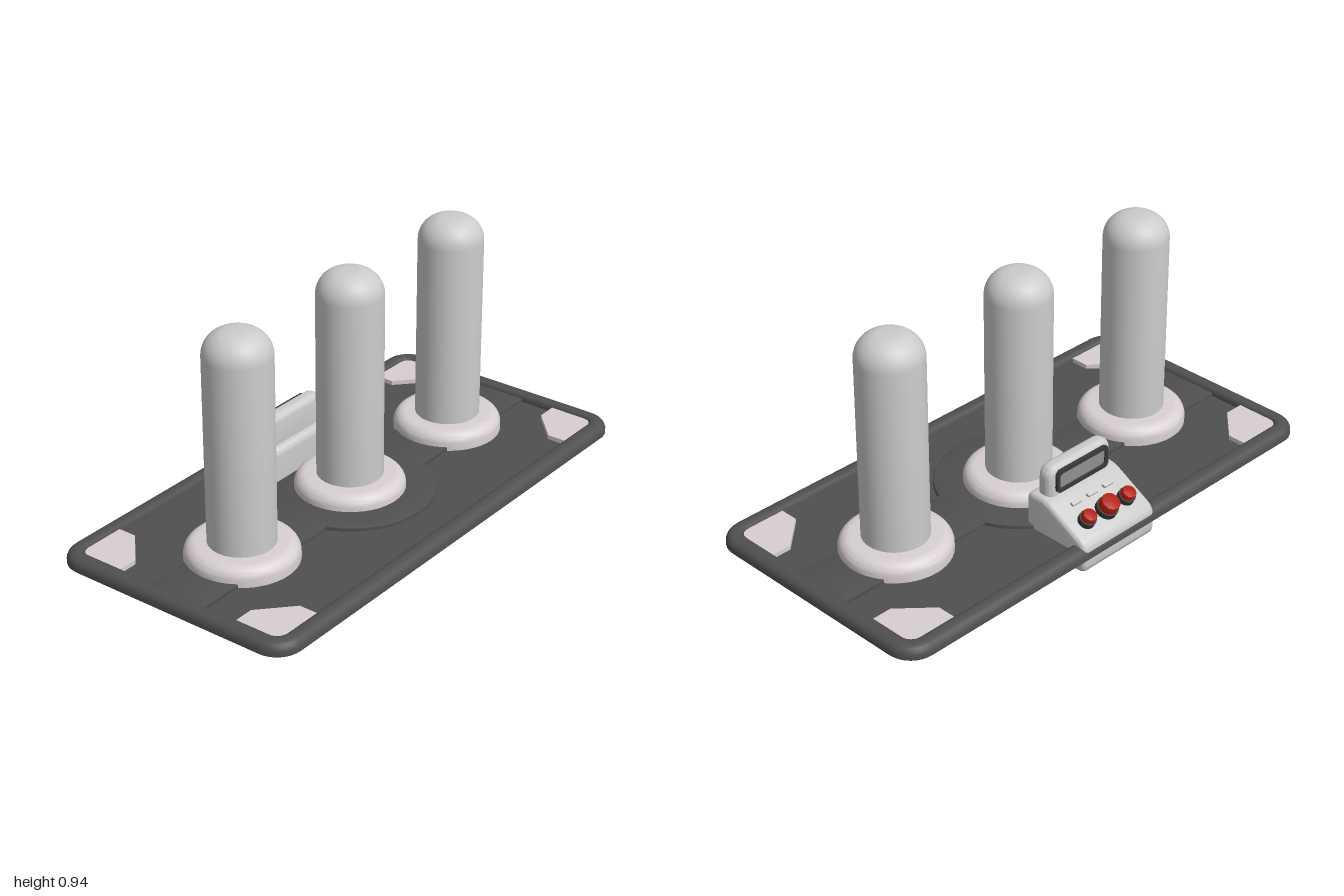
import * as THREE from 'three';
import { toCreasedNormals } from 'three/addons/utils/BufferGeometryUtils.js';

const mat = (color) => new THREE.MeshStandardMaterial({ color });
const GREY = mat(0xcccccc), DARK = mat(0x505050), PALE = mat(0xd8d0d0);
const FOOT = mat(0x858080), RED = mat(0xb01c0c), BLACK = mat(0x3a3a3a), SCREEN = mat(0x909090);

function add(parent, name, geo, material, x = 0, y = 0, z = 0) {
  const mesh = new THREE.Mesh(geo, material);
  mesh.name = name;
  mesh.position.set(x, y, z);
  parent.add(mesh);
  return mesh;
}

// Polygon with rounded corners; each point is [x, y, radius]
function roundedShape(pts) {
  const s = new THREE.Shape(), n = pts.length;
  pts.forEach(([x, y, r = 0], i) => {
    const p = new THREE.Vector2(x, y);
    const toward = (q) => new THREE.Vector2(q[0], q[1]).sub(p).setLength(r).add(p);
    const a = toward(pts[(i + n - 1) % n]), b = toward(pts[(i + 1) % n]);
    if (i === 0) s.moveTo(a.x, a.y); else s.lineTo(a.x, a.y);
    if (r) s.quadraticCurveTo(x, y, b.x, b.y);
  });
  s.closePath();
  return s;
}

const rect = (x0, y0, x1, y1, r) => roundedShape([[x0, y0, r], [x1, y0, r], [x1, y1, r], [x0, y1, r]]);

// Extrusion of total depth, with bevels kept inside the outline, centred on z
function extrude(shape, depth, bevel = 0, segments = 4) {
  const geo = new THREE.ExtrudeGeometry(shape, {
    depth: depth - 2 * bevel, bevelEnabled: bevel > 0, bevelSize: bevel, bevelThickness: bevel,
    bevelOffset: -bevel, bevelSegments: segments, curveSegments: 8,
  });
  return toCreasedNormals(geo.translate(0, 0, bevel - depth / 2), 0.6);
}

// Slab lying flat between two heights; shape y becomes z
const slab = (shape, y0, y1, bevel = 0) =>
  extrude(shape, y1 - y0, bevel, 2).rotateX(Math.PI / 2).translate(0, (y0 + y1) / 2, 0);

// Rounded rectangles stacked by [inset, height], closed by a fan at each end
function trayGeometry(profile, halfX, halfZ, radius) {
  const pos = [], idx = [], steps = 8, n = 4 * (steps + 1);
  for (const [inset, y] of profile) {
    const r = Math.max(radius - inset, 0.03);
    for (let c = 0; c < 4; c++) {
      const sx = c === 0 || c === 3 ? 1 : -1, sz = c < 2 ? 1 : -1;
      for (let k = 0; k <= steps; k++) {
        const a = (c + k / steps) * Math.PI / 2;
        pos.push(sx * (halfX - inset - r) + r * Math.cos(a), y, sz * (halfZ - inset - r) + r * Math.sin(a));
      }
    }
  }
  const last = (profile.length - 1) * n, low = pos.length / 3, high = low + 1;
  pos.push(0, profile[0][1], 0, 0, profile[profile.length - 1][1], 0);
  for (let i = 0; i < n; i++) {
    const j = (i + 1) % n;
    for (let k = 0; k < last; k += n) idx.push(k + i, k + n + i, k + j, k + j, k + n + i, k + n + j);
    idx.push(low, i, j, high, last + j, last + i);
  }
  const geo = new THREE.BufferGeometry();
  geo.setAttribute('position', new THREE.Float32BufferAttribute(pos, 3));
  geo.setIndex(idx);
  return toCreasedNormals(geo, 0.7);
}

// Lathe with a quarter-round shoulder
function roundedPost(radius, y0, y1, fillet) {
  const pts = [new THREE.Vector2(radius, y0)];
  for (let i = 0; i <= 10; i++) {
    const a = (i / 10) * Math.PI / 2;
    pts.push(new THREE.Vector2(radius - fillet + fillet * Math.cos(a), y1 - fillet + fillet * Math.sin(a)));
  }
  pts.push(new THREE.Vector2(0, y1));
  return toCreasedNormals(new THREE.LatheGeometry(pts, 48), 0.6);
}

function buildTray(model) {
  add(model, 'tray', trayGeometry([
    [0.005, 0.055], [0, 0.06], [0, 0.078], [0.004, 0.089], [0.012, 0.098], [0.022, 0.103], [0.034, 0.105],
    [0.048, 0.105], [0.057, 0.102], [0.063, 0.095], [0.065, 0.078],
  ], 1, 0.5, 0.1), DARK);

  // Raised band merged with a central disc
  const band = new THREE.Shape(), r = 0.31, h = 0.118, a = Math.asin(h / r);
  band.moveTo(0.935, -h);
  band.lineTo(0.935, h);
  band.absarc(0, 0, r, a, Math.PI - a, false);
  band.lineTo(-0.935, h);
  band.lineTo(-0.935, -h);
  band.absarc(0, 0, r, Math.PI + a, 2 * Math.PI - a, false);
  band.closePath();
  add(model, 'raisedBand', slab(band, 0.07, 0.093, 0.005), DARK);

  // Corner plates above and hexagonal feet below
  for (const sx of [1, -1]) for (const sz of [1, -1]) {
    const corner = (pts) => roundedShape(pts.map(([x, z, q]) => [sx * x, sz * z, q]));
    add(model, 'cornerPlate', slab(corner([
      [0.937, 0.255], [0.86, 0.255], [0.742, 0.365], [0.742, 0.437], [0.937, 0.437, 0.045],
    ]), 0.07, 0.095), PALE);
    add(model, 'foot', slab(corner([
      [0.93, 0.26], [0.85, 0.26], [0.75, 0.35], [0.75, 0.43], [0.86, 0.43], [0.93, 0.38],
    ]), 0.051, 0.06), FOOT);
  }
}

function buildControlUnit(model) {
  const unit = new THREE.Group();
  unit.name = 'controlUnit';
  model.add(unit);

  // Side profile, drawn with -z to the right and swept across x
  const side = roundedShape([
    [0.215, 0, 0.035], [0.497, 0, 0.035], [0.497, 0.115, 0.035], [0.305, 0.22, 0.03], [0.215, 0.22, 0.03],
  ]);
  add(unit, 'housing', extrude(side, 0.36, 0.018).rotateY(Math.PI / 2), GREY);

  // Display on the top ledge, facing the back
  add(unit, 'displayCase', extrude(rect(-0.157, 0.17, 0.157, 0.332, 0.05), 0.064, 0.026, 6), GREY, 0, 0, -0.274);
  const frame = rect(-0.13, 0.226, 0.13, 0.316, 0.025);
  frame.holes.push(rect(-0.115, 0.241, 0.115, 0.301, 0.015));
  add(unit, 'displayFrame', extrude(frame, 0.02), BLACK, 0, 0, -0.306);
  add(unit, 'displayScreen', extrude(rect(-0.118, 0.238, 0.118, 0.304, 0.015), 0.01), SCREEN, 0, 0, -0.304);

  // Sloping panel: local y points out of the slope
  const panel = new THREE.Group();
  panel.name = 'slopingPanel';
  panel.position.set(0, 0.154, -0.425);
  panel.rotation.x = -0.5;
  unit.add(panel);
  for (const x of [-0.1, 0, 0.1]) {
    const r = x ? 0.026 : 0.035, top = x ? 0.045 : 0.055;
    add(panel, 'buttonCollar', new THREE.CylinderGeometry(r + 0.006, r + 0.006, 0.03, 32), BLACK, x, 0.007, 0);
    add(panel, 'button', roundedPost(r, 0.015, top, 0.004), RED, x, 0, 0);
  }
  for (const x of [-0.08, 0, 0.08]) {
    add(panel, 'indicator', slab(rect(-0.025, -0.008, 0.025, 0.008, 0.006), -0.008, 0.01), GREY, x, 0, 0.076);
  }
}

export function createModel() {
  const model = new THREE.Group();
  model.name = 'threePostStand';
  buildTray(model);
  for (const x of [-0.6, 0, 0.6]) {
    add(model, 'postCollar', roundedPost(0.202, 0.07, 0.147, 0.045), PALE, x);
    add(model, 'post', roundedPost(0.121, 0.1, 0.937, 0.092), GREY, x);
  }
  buildControlUnit(model);
  return model;
}
